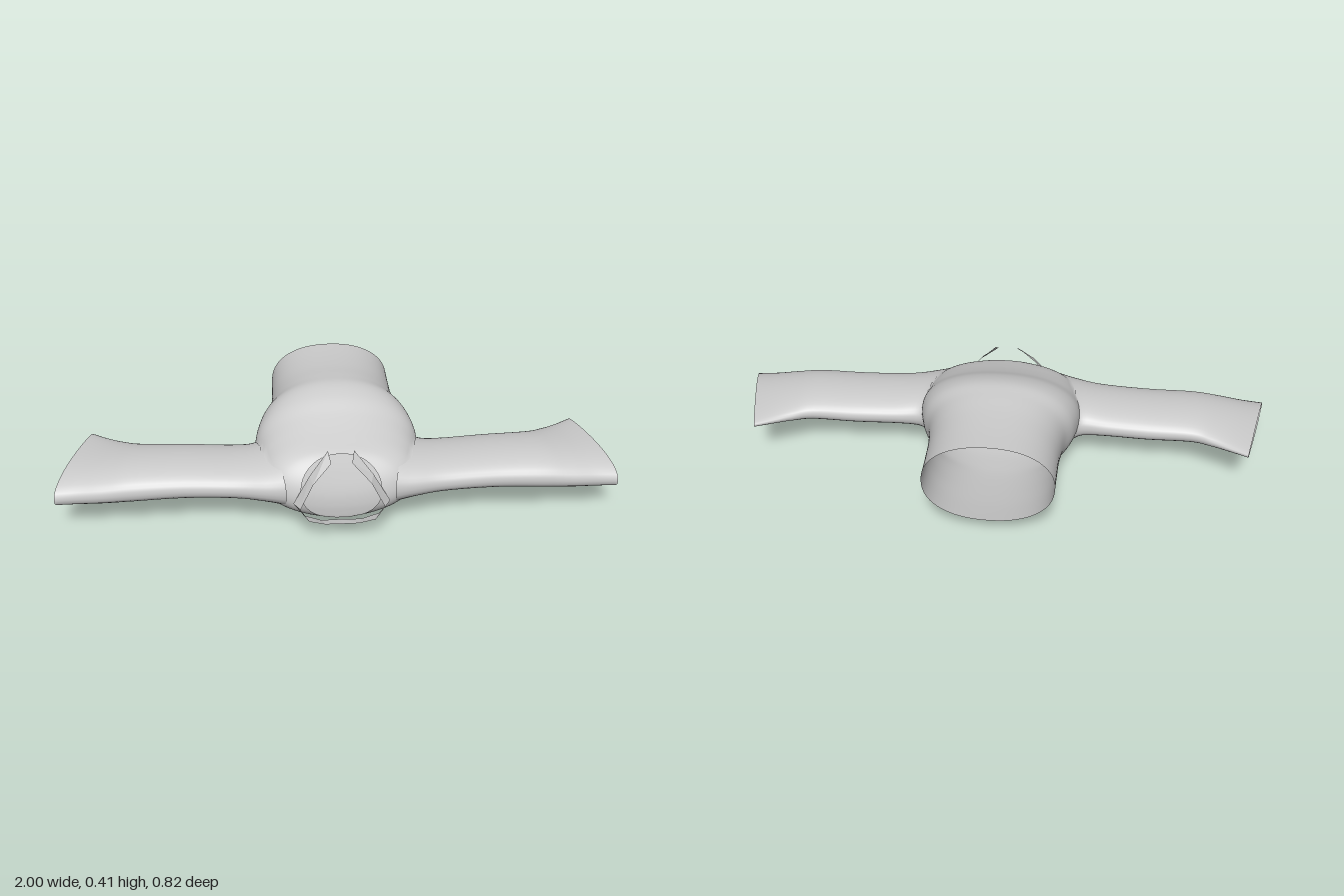
import * as THREE from 'three';

const lerp = THREE.MathUtils.lerp;

// Smoothly subdivide a short table of cross-section parameters (Catmull-Rom)
function refine(rows, steps) {
  const out = [];
  for (let i = 0; i < rows.length - 1; i++) {
    const [a, b, c, d] = [rows[Math.max(i - 1, 0)], rows[i], rows[i + 1], rows[Math.min(i + 2, rows.length - 1)]];
    for (let s = 0; s < steps; s++) {
      const t = s / steps;
      out.push(b.map((_, k) => b[k] + 0.5 * t * (c[k] - a[k] + t * (2 * a[k] - 5 * b[k] + 4 * c[k] - d[k]
        + t * (3 * (b[k] - c[k]) + d[k] - a[k])))));
    }
  }
  out.push(rows[rows.length - 1]);
  return out;
}

// Skin a list of point rings; quads whose four corners satisfy drop() are left open
function loft(rings, closed = true, drop = () => false) {
  const n = rings[0].length, pos = [], index = [];
  rings.forEach((r) => r.forEach((p) => pos.push(p[0], p[1], p[2])));
  for (let i = 0; i < rings.length - 1; i++) {
    for (let j = 0; j < (closed ? n : n - 1); j++) {
      const k = (j + 1) % n;
      if ([rings[i][j], rings[i][k], rings[i + 1][k], rings[i + 1][j]].every(drop)) continue;
      const a = i * n + j, b = i * n + k, c = b + n, d = a + n;
      index.push(a, b, c, a, c, d);
    }
  }
  const g = new THREE.BufferGeometry();
  g.setAttribute('position', new THREE.Float32BufferAttribute(pos, 3));
  g.setIndex(index);
  g.computeVertexNormals();
  return g;
}

// Torso: open tube from hem to neck, with an armhole on each side
function torsoGeometry() {
  // z at top, z at bottom, forward bulge, half width, top y, bottom y
  const rows = refine([
    [-0.4, -0.405, 0, 0.23, 0.39, 0.07],
    [-0.3, -0.3, 0, 0.232, 0.39, 0.046],
    [-0.2, -0.2, 0, 0.236, 0.394, 0.027],
    [-0.11, -0.1, 0, 0.25, 0.402, 0.011],
    [-0.04, -0.03, 0, 0.28, 0.405, 0.004],
    [0.03, 0.05, 0, 0.297, 0.388, 0],
    [0.1, 0.12, 0.005, 0.295, 0.355, 0.004],
    [0.16, 0.2, 0.01, 0.287, 0.33, 0.02],
    [0.215, 0.27, 0.02, 0.265, 0.31, 0.043],
    [0.25, 0.315, 0.027, 0.215, 0.298, 0.06],
    [0.27, 0.345, 0.032, 0.14, 0.29, 0.075],
  ], 6);
  const N = 96, power = 2 / 2.2;
  const rings = rows.map(([zT, zB, bulge, w, yT, yB]) => Array.from({ length: N }, (_, j) => {
    const a = (j / N) * Math.PI * 2, c = Math.cos(a), s = Math.sin(a);
    const v = Math.sign(s) * Math.abs(s) ** power;
    const x = w * Math.sign(c) * Math.abs(c) ** power;
    let y = lerp(yB, yT, (v + 1) / 2);
    let z = lerp(zB, zT, (v + 1) / 2) + bulge * (1 - v * v);
    // points inside the armhole move out to its edge
    const dz = (z - 0.168) / 0.15, dy = (y - 0.166) / 0.08, q = Math.hypot(dz, dy);
    const inside = q < 1 && Math.abs(x) > 0.12;
    if (inside && q > 0.6) {
      y = 0.166 + (dy / q) * 0.08;
      z = 0.168 + (dz / q) * 0.15;
    }
    return [x, y, z, inside];
  }));
  return loft(rings, true, (p) => p[3]);
}

// Sleeve: open tube towards +x, its cuff slanted and pinched at the back
function sleeveGeometry() {
  // x at back, x at front, back z, front z, bottom y, top y, pinch
  const rows = refine([
    [0.28, 0.19, 0, 0.335, 0.075, 0.258, 0],
    [0.315, 0.26, 0.02, 0.322, 0.092, 0.238, 0],
    [0.4, 0.37, 0.014, 0.3, 0.1, 0.225, 0.1],
    [0.55, 0.55, 0.002, 0.286, 0.098, 0.225, 0.2],
    [0.71, 0.73, -0.005, 0.288, 0.09, 0.225, 0.4],
    [0.78, 0.83, -0.03, 0.285, 0.084, 0.215, 0.6],
    [0.84, 0.92, -0.06, 0.277, 0.078, 0.206, 0.8],
    [0.91, 1, -0.1, 0.275, 0.075, 0.2, 1],
  ], 5);
  const N = 40;
  return loft(rows.map(([xB, xF, zB, zF, yB, yT, pinch]) => Array.from({ length: N }, (_, j) => {
    const a = (j / N) * Math.PI * 2, t = (1 + Math.cos(a)) / 2, back = pinch * (1 - t);
    const s = -Math.sin(a);
    const y = (yB + yT) / 2 + 0.045 * back + Math.sign(s) * Math.abs(s) ** 0.85 * (yT - yB) / 2 * (1 - 0.6 * back);
    return [lerp(xB, xF, t), y, lerp(zB, zF, t)];
  })));
}

// Collar: faceted band round the neck, open at the top
function collarGeometry() {
  const half = (pts) => [...pts, ...pts.slice(0, -1).reverse().map(([x, y, z]) => [-x, y, z])];
  const inner = half([[0.045, 0.325, 0.305], [0.11, 0.245, 0.335], [0.168, 0.15, 0.36],
    [0.132, 0.09, 0.348], [0.07, 0.062, 0.34], [0, 0.06, 0.335]]);
  const outer = half([[0.036, 0.298, 0.345], [0.1, 0.235, 0.378], [0.145, 0.16, 0.413],
    [0.115, 0.1, 0.4], [0.06, 0.074, 0.383], [0, 0.07, 0.378]]);
  return loft([outer, inner], false);
}

export function createModel() {
  const group = new THREE.Group();
  group.name = 'shirt';
  const cloth = new THREE.MeshStandardMaterial({ color: 0xcccccc, side: THREE.DoubleSide });
  const crisp = new THREE.MeshStandardMaterial({ color: 0xcccccc, side: THREE.DoubleSide, flatShading: true });
  const add = (name, geometry, material) => {
    const mesh = new THREE.Mesh(geometry, material);
    mesh.name = name;
    group.add(mesh);
    return mesh;
  };
  add('torso', torsoGeometry(), cloth);
  const sleeve = sleeveGeometry();
  add('leftSleeve', sleeve, cloth);
  add('rightSleeve', sleeve, cloth).scale.x = -1;
  add('collar', collarGeometry(), crisp);
  return group;
}
